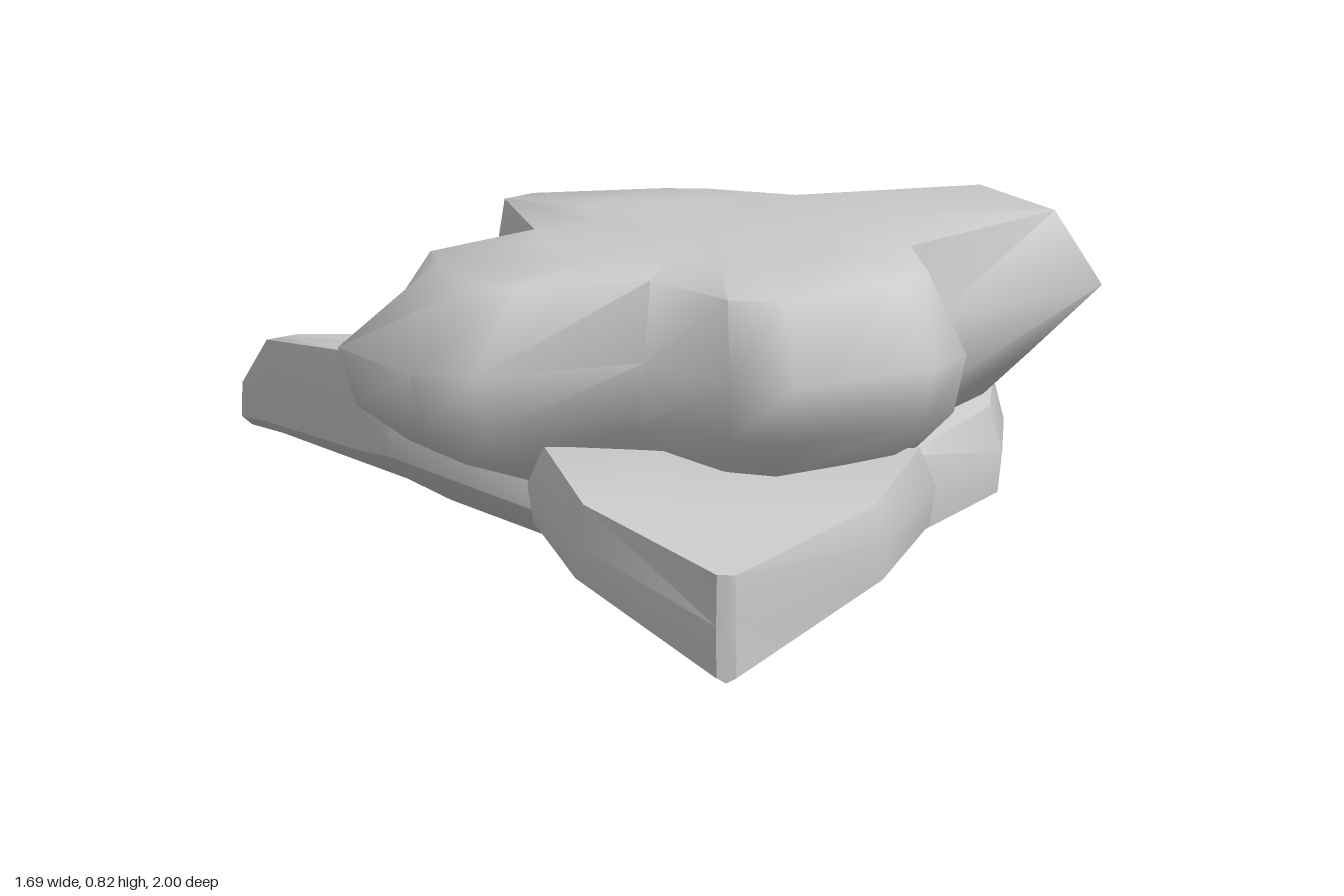
import * as THREE from 'three';
import { toCreasedNormals } from 'three/addons/utils/BufferGeometryUtils.js';

const material = new THREE.MeshStandardMaterial({ color: 0xcccccc });

// Skin a list of equal-length rings and close both ends with a fan.
function loft(name, rings, crease) {
  const n = rings[0].length;
  const mean = (ring) =>
    ring.reduce((sum, p) => sum.add(p), new THREE.Vector3()).divideScalar(n);
  const points = [...rings.flat(), mean(rings[0]), mean(rings[rings.length - 1])];
  const last = (rings.length - 1) * n;
  const startCap = rings.length * n;
  const index = [];
  for (let i = 0; i < n; i++) {
    const j = (i + 1) % n;
    for (let k = 0; k < last; k += n) {
      index.push(k + i, k + j, k + n + j, k + i, k + n + j, k + n + i);
    }
    index.push(startCap, j, i, startCap + 1, last + i, last + j);
  }
  const geometry = new THREE.BufferGeometry().setFromPoints(points);
  geometry.setIndex(index);
  const mesh = new THREE.Mesh(toCreasedNormals(geometry, crease), material);
  mesh.name = name;
  return mesh;
}

// Four-lobed blossom outline, clockwise from above:
// [x, z, scale at the top rim, scale at the lower rim]
const outline = [
  [-0.35, -0.64, 0.82, 0.96], [-0.06, -0.77, 0.68, 0.97], [0.07, -0.72, 0.7, 0.96],
  [0.25, -0.45, 0.95, 1.05],
  [0.63, -0.49, 0.95, 0.95], [0.845, -0.23, 0.88, 0.82],
  [0.51, 0.09, 0.92, 1.08],
  [0.59, 0.38, 0.85, 0.95], [0.53, 0.5, 0.86, 0.95], [0.26, 0.65, 0.88, 0.95],
  [0.13, 0.59, 0.9, 0.95],
  [-0.04, 0.35, 0.92, 1.08],
  [-0.37, 0.44, 0.82, 0.96], [-0.5, 0.4, 0.78, 0.96], [-0.645, 0.11, 0.73, 0.95],
  [-0.57, -0.02, 0.84, 0.96],
  [-0.28, -0.2, 0.96, 1.0], [-0.35, -0.51, 0.95, 0.96],
];

function blossom() {
  // Scale rule and height, from the flat top to the pointed underside
  const levels = [
    [(top) => top * 0.6, 0.8], [(top) => top, 0.78], [() => 1, 0.62],
    [(top, low) => low, 0.5], [(top, low) => low * 0.85, 0.42],
    [(top, low) => low * 0.5, 0.33], [(top, low) => low * 0.18, 0.25],
  ];
  const cx = 0.08, cz = -0.03;
  const rings = levels.map(([scale, y]) =>
    outline.map(([px, pz, top, low]) => {
      const s = scale(top, low);
      const x = cx + (px - cx) * s;
      const z = cz + (pz - cz) * s;
      return new THREE.Vector3(x, y + 0.04 * x + 0.06 * z, z);
    }));
  return loft('blossom', rings, 1.25);
}

// A thick keeled leaf running from its base point toward its tip.
// Sections: [distance, sideways shift, half width,
//            top middle, top side, bottom side, bottom middle]
function leaf(name, [x0, z0], [x1, z1], tilt, sections) {
  const f = new THREE.Vector3(x1 - x0, 0, z1 - z0).normalize();
  const rings = sections.map(([d, c, w, topMid, topSide, lowSide, lowMid]) => {
    const profile = [
      [0, lowMid], [w * 0.97, lowSide], [w, (lowSide + topSide) / 2],
      [w * 0.92, topSide], [0, topMid], [-w * 0.92, topSide],
      [-w, (lowSide + topSide) / 2], [-w * 0.97, lowSide],
    ];
    return profile.map(([side, y]) => {
      const s = side + c;
      return new THREE.Vector3(x0 + f.x * d + f.z * s, y + tilt * s, z0 + f.z * d - f.x * s);
    });
  });
  return loft(name, rings, 0.85);
}

export function createModel() {
  const group = new THREE.Group();
  group.name = 'flower';
  group.add(
    blossom(),
    leaf('frontLeaf', [0.13, 0], [0.13, 1], 0, [
      [0.02, 0, 0.23, 0.28, 0.27, 0.17, 0.13],
      [0.1, 0, 0.31, 0.34, 0.34, 0.19, 0.09],
      [0.22, 0, 0.37, 0.42, 0.42, 0.25, 0.13],
      [0.37, 0, 0.4, 0.46, 0.475, 0.32, 0.17],
      [0.67, 0, 0.31, 0.43, 0.44, 0.29, 0.17],
      [1.0, 0, 0.02, 0.39, 0.39, 0.18, 0.17],
    ]),
    leaf('sideLeaf', [0.05, -0.15], [-0.82, -0.51], 0.18, [
      [-0.02, 0.04, 0.13, 0.21, 0.2, 0.1, 0.05],
      [0.09, 0.06, 0.23, 0.29, 0.28, 0.1, -0.008],
      [0.19, -0.01, 0.305, 0.37, 0.37, 0.19, 0.08],
      [0.5, 0.05, 0.31, 0.47, 0.475, 0.28, 0.17],
      [0.6, 0.03, 0.27, 0.47, 0.475, 0.28, 0.2],
      [0.88, 0, 0.085, 0.455, 0.455, 0.29, 0.26],
      [0.945, 0, 0.05, 0.37, 0.36, 0.29, 0.27],
    ]),
    leaf('backLeaf', [0.2, -0.1], [0.55, -0.98], 0.18, [
      [0.06, 0, 0.12, 0.27, 0.26, 0.18, 0.13],
      [0.18, 0, 0.23, 0.35, 0.34, 0.18, 0.09],
      [0.37, 0, 0.335, 0.43, 0.42, 0.25, 0.17],
      [0.51, 0, 0.28, 0.43, 0.43, 0.27, 0.19],
      [0.9, 0, 0.065, 0.425, 0.425, 0.27, 0.23],
      [0.955, 0, 0.04, 0.36, 0.36, 0.26, 0.24],
    ]),
  );
  return group;
}
